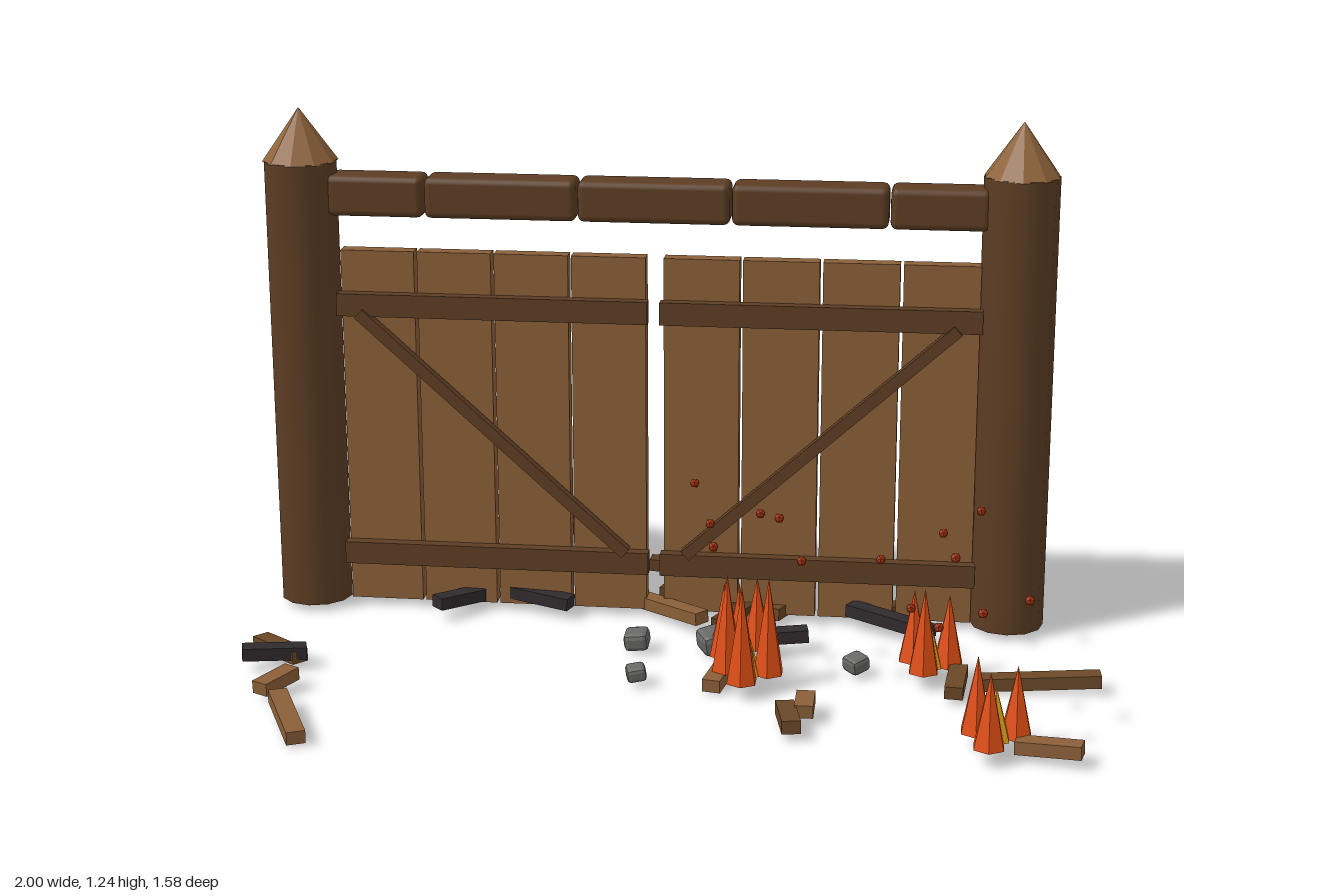
import * as THREE from 'three';
import { RoundedBoxGeometry } from 'three/addons/geometries/RoundedBoxGeometry.js';

const mat = (name, color, flatShading = false) => {
  const m = new THREE.MeshStandardMaterial({ color, flatShading });
  m.name = name;
  return m;
};

export function createModel() {
  const logWood = mat('dark log wood', 0x5c3d23);
  const plankWood = mat('plank wood', 0x8a5f38);
  const capWood = mat('cut wood', 0x8f643c, true);
  const brokenWood = mat('broken wood', 0x6b4828);
  const charred = mat('charred wood', 0x302b2d);
  const stone = mat('grey stone', 0x686866, true);
  const flame = mat('orange flame', 0xe04e14, true);
  const core = mat('yellow flame', 0xe0a018, true);
  const ember = mat('red ember', 0xa8330f, true);

  const model = new THREE.Group();
  model.name = 'burningGate';
  const group = (name, parent = model) => {
    const g = new THREE.Group();
    g.name = name;
    parent.add(g);
    return g;
  };
  const add = (parent, name, geometry, material, x, y, z) => {
    const m = new THREE.Mesh(geometry, material);
    m.name = name;
    m.position.set(x, y, z);
    parent.add(m);
    return m;
  };
  const gateZ = -0.1;

  // Posts with pointed tops
  for (const x of [-0.915, 0.785]) {
    const post = group('post');
    add(post, 'postLog', new THREE.CylinderGeometry(0.088, 0.088, 1.095, 12), logWood, x, 0.5775, gateZ);
    add(post, 'postPoint', new THREE.ConeGeometry(0.09, 0.127, 10), capWood, x, 1.1865, gateZ);
  }

  // Top beam made of short logs
  const beam = group('topBeam');
  for (const [a, b] of [[-0.845, -0.614], [-0.61, -0.249], [-0.245, 0.113], [0.118, 0.482], [0.486, 0.715]]) {
    add(beam, 'beamLog', new RoundedBoxGeometry(b - a, 0.098, 0.094, 2, 0.016), logWood, (a + b) / 2, 1.047, gateZ);
  }

  // Two doors: planks, battens and a diagonal brace
  const doors = [
    { name: 'rightDoor', x0: -0.825, x1: -0.083, top: -0.775, bottom: -0.135 },
    { name: 'leftDoor', x0: -0.048, x1: 0.703, top: 0.65, bottom: 0.01 },
  ];
  for (const d of doors) {
    const door = group(d.name);
    const w = (d.x1 - d.x0) / 4;
    for (let i = 0; i < 4; i++) {
      add(door, 'plank', new THREE.BoxGeometry(w - 0.008, 0.88, 0.04), plankWood, d.x0 + w * (i + 0.5), 0.472, gateZ);
    }
    for (const y of [0.784, 0.158]) {
      add(door, 'batten', new THREE.BoxGeometry(d.x1 - d.x0 + 0.006, 0.055, 0.03), logWood, (d.x0 + d.x1) / 2, y, -0.066);
    }
    const dx = d.top - d.bottom, dy = 0.58;
    const brace = add(door, 'brace', new THREE.BoxGeometry(Math.hypot(dx, dy), 0.028, 0.026), logWood,
      (d.top + d.bottom) / 2, 0.475, -0.056);
    brace.rotation.z = Math.atan2(dy, dx);
  }

  // Broken boards on the ground: [x0, z0, x1, z1, material]
  const L = plankWood, M = brokenWood, D = logWood, C = charred;
  const boards = [
    [-0.68, -0.46, -0.45, -0.78, M], [-0.49, -0.63, -0.345, -0.71, C],
    [-0.375, -0.6, -0.175, -0.695, M], [-0.465, -0.605, -0.57, -0.2, D],
    [-0.63, -0.57, -0.68, -0.17, D], [-0.79, -0.31, -0.69, -0.355, M],
    [-0.115, -0.375, 0.115, -0.365, D], [-0.24, -0.23, 0.06, 0.02, L],
    [0.22, -0.35, 0.11, 0.03, D], [0.28, -0.21, 0.22, -0.05, M],
    [0.2, -0.02, 0.12, 0.39, L], [0.17, 0.13, 0.32, 0.105, C],
    [0.41, -0.07, 0.61, 0.04, C], [0.48, -0.12, 0.73, -0.175, D],
    [-0.59, 0.005, -0.5, -0.09, C], [-0.965, 0.24, -0.84, 0.35, M],
    [-0.97, 0.375, -0.83, 0.33, C], [-0.88, 0.55, -0.83, 0.455, L],
    [-0.83, 0.58, -0.735, 0.78, L], [0.295, 0.5, 0.32, 0.63, M],
    [0.34, 0.46, 0.34, 0.54, L], [0.72, 0.295, 0.995, 0.275, M],
    [0.675, 0.26, 0.665, 0.385, M], [0.8, 0.655, 0.94, 0.685, L],
    [-0.06, -0.18, 0.14, -0.12, D], [0.1, 0.03, 0.17, -0.1, D],
    [-0.42, -0.1, -0.27, -0.05, C],
  ];
  const debris = group('debris');
  boards.forEach(([x0, z0, x1, z1, material], i) => {
    const length = Math.hypot(x1 - x0, z1 - z0);
    const y = material === C ? 0.055 : 0.04 + 0.004 * (i % 3);
    const board = add(debris, 'brokenBoard', new THREE.BoxGeometry(length, 0.03, 0.042), material,
      (x0 + x1) / 2, y, (z0 + z1) / 2);
    board.rotation.set(0, -Math.atan2(z1 - z0, x1 - x0), (i % 2 ? 1 : -1) * 0.05, 'YXZ');
  });

  // Rubble
  const rubble = group('rubble');
  [[-0.08, 0.15, 0.058], [-0.055, 0.355, 0.045], [0.1, 0.135, 0.07], [0.44, 0.24, 0.05]].forEach(([x, z, s], i) => {
    const rock = add(rubble, 'stone', new RoundedBoxGeometry(s, s * 0.75, s, 1, s * 0.2), stone, x, 0.045, z);
    rock.rotation.set(0.12, i * 0.25, 0.1);
  });

  // Fires: [x, z, tip height] for each flame, with a yellow heart
  const fires = [
    { heart: [0.165, 0.19], flames: [[0.13, 0.15, 0.2], [0.205, 0.175, 0.22], [0.135, 0.235, 0.225]] },
    { heart: [0.195, 0.345], flames: [[0.15, 0.325, 0.28], [0.19, 0.395, 0.275], [0.245, 0.335, 0.28], [0.175, 0.295, 0.25]] },
    { heart: [0.605, 0.25], flames: [[0.57, 0.215, 0.22], [0.65, 0.235, 0.22], [0.595, 0.285, 0.25]] },
    { heart: [0.755, 0.645], flames: [[0.715, 0.61, 0.225], [0.8, 0.62, 0.21], [0.742, 0.69, 0.22]] },
  ];
  const baseY = 0.05;
  for (const { heart, flames } of fires) {
    const fire = group('fire');
    for (const [x, z, tip] of flames) {
      add(fire, 'flame', new THREE.ConeGeometry(0.037, tip - baseY, 6), flame, x, (tip + baseY) / 2, z);
    }
    add(fire, 'flameHeart', new THREE.ConeGeometry(0.035, 0.12, 6), core, heart[0], baseY + 0.06, heart[1]);
  }

  // Sparks in the air
  const sparks = group('sparks');
  const sparkGeometry = new THREE.IcosahedronGeometry(0.012, 0);
  for (const [x, y, z] of [
    [0.055, 0.432, 0.138], [0.11, 0.397, 0.32], [0.13, 0.385, 0.44], [0.22, 0.412, 0.28],
    [0.265, 0.415, 0.315], [0.32, 0.335, 0.37], [0.49, 0.283, 0.195], [0.565, 0.235, 0.372],
    [0.63, 0.33, 0.13], [0.715, 0.383, 0.118], [0.66, 0.42, 0.547], [0.82, 0.335, 0.56],
    [0.63, 0.342, 0.757], [0.72, 0.355, 0.7],
  ]) add(sparks, 'spark', sparkGeometry, ember, x, y, z);

  return model;
}
